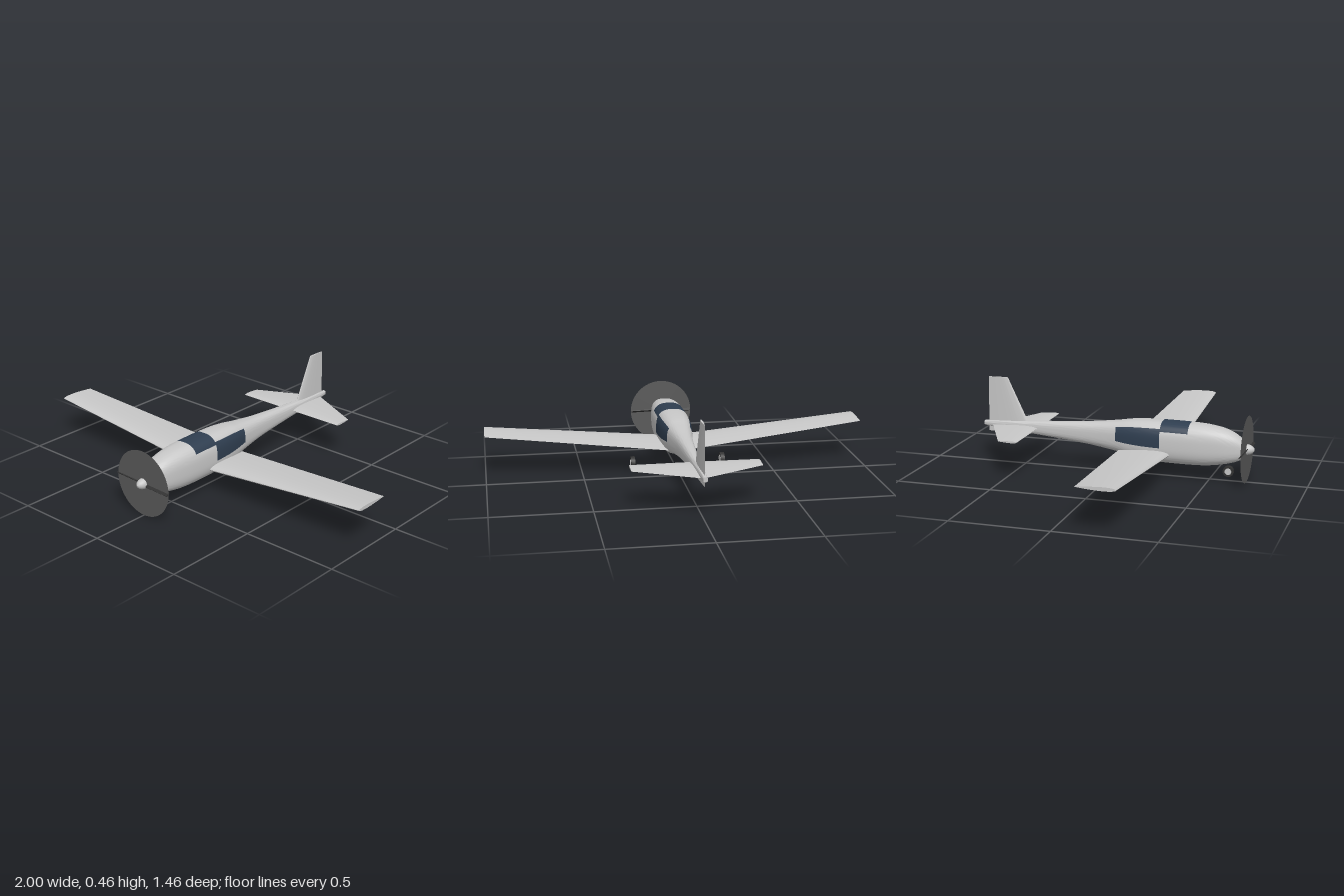
import * as THREE from 'three';
import { toCreasedNormals } from 'three/addons/utils/BufferGeometryUtils.js';

const mat = (name, color, side = THREE.FrontSide) => {
  const m = new THREE.MeshStandardMaterial({ color, side });
  m.name = name;
  return m;
};

// Skin closed rings of [x, y, z] points; pick(i, j) gives the material index of a quad
function loft(rings, pick = () => 0) {
  const n = rings[0].length;
  const pos = rings.flat(2);
  const faces = [[], []];
  for (let i = 0; i < rings.length - 1; i++) {
    for (let j = 0; j < n; j++) {
      const k = (j + 1) % n;
      const a = i * n + j, b = i * n + k, c = b + n, d = a + n;
      faces[pick(i, j)].push(a, d, b, b, d, c);
    }
  }
  // End caps
  [0, rings.length - 1].forEach((r) => {
    const centre = pos.length / 3;
    for (let q = 0; q < 3; q++) pos.push(rings[r].reduce((s, p) => s + p[q], 0) / n);
    for (let j = 0; j < n; j++) {
      const a = r * n + j, b = r * n + (j + 1) % n;
      faces[0].push(centre, ...(r === 0 ? [a, b] : [b, a]));
    }
  });
  const g = new THREE.BufferGeometry();
  g.setAttribute('position', new THREE.Float32BufferAttribute(pos, 3));
  g.setIndex([...faces[0], ...faces[1]]);
  g.addGroup(0, faces[0].length, 0);
  if (faces[1].length) g.addGroup(faces[0].length, faces[1].length, 1);
  return toCreasedNormals(g, 0.7);
}

// Aerofoil ring at span x, running over the top from leading to trailing edge and back
function foil(x, y, zFront, zBack, thickness) {
  const half = 12, ring = [];
  for (let i = 0; i < half * 2; i++) {
    const t = (1 - Math.cos((i / half) * Math.PI)) / 2;
    const h = thickness * 5 * (0.2969 * Math.sqrt(t) - 0.126 * t - 0.3516 * t ** 2 + 0.2843 * t ** 3 - 0.1036 * t ** 4);
    ring.push([x, y + (i <= half ? h : -h), zFront + (zBack - zFront) * t]);
  }
  return ring;
}

// Fuselage: rounded-square sections, window panels chosen by station and angle
function fuselageGeometry() {
  const stations = [ // z, top, bottom, half width
    [0.685, 0.203, 0.128, 0.03], [0.67, 0.217, 0.12, 0.038], [0.63, 0.246, 0.103, 0.055],
    [0.57, 0.27, 0.088, 0.071], [0.49, 0.284, 0.077, 0.082], [0.4, 0.289, 0.074, 0.088],
    [0.255, 0.291, 0.076, 0.089], [0.16, 0.289, 0.082, 0.086], [0.08, 0.283, 0.094, 0.077],
    [0.017, 0.273, 0.112, 0.067], [-0.1, 0.259, 0.131, 0.05], [-0.2, 0.251, 0.143, 0.04],
    [-0.4, 0.238, 0.162, 0.027], [-0.6, 0.228, 0.179, 0.017], [-0.728, 0.22, 0.195, 0.011],
  ];
  const outline = new THREE.CatmullRomCurve3(stations.map((s) => new THREE.Vector3(s[0], s[1], s[2])), false, 'catmullrom');
  const width = new THREE.CatmullRomCurve3(stations.map((s) => new THREE.Vector3(s[3], 0, 0)), false, 'catmullrom');
  const steps = 4, total = (stations.length - 1) * steps, segs = 72;
  const soft = (v) => Math.sign(v) * Math.abs(v) ** (2 / 2.8);
  const rings = [];
  for (let i = 0; i <= total; i++) {
    const p = outline.getPoint(i / total), w = width.getPoint(i / total).x;
    const ring = [];
    for (let j = 0; j < segs; j++) {
      const a = (j / segs) * Math.PI * 2;
      ring.push([w * soft(Math.cos(a)), (p.y + p.z) / 2 + ((p.y - p.z) / 2) * soft(Math.sin(a)), p.x]);
    }
    rings.push(ring);
  }
  return loft(rings, (i, j) => {
    const station = Math.floor(i / steps);
    let angle = (j + 0.5) * 5;
    if (angle > 270) angle -= 360;
    const fromSide = angle > 90 ? 180 - angle : angle;
    const windshield = station === 5 && fromSide > 30;
    const sideWindow = station >= 6 && station <= 8 && fromSide > -5 && fromSide < 40;
    return windshield || sideWindow ? 1 : 0;
  });
}

export function createModel() {
  const body = mat('light grey paint', 0xc8c8c8);
  const glass = mat('dark blue glass', 0x2f3e50);
  const dark = mat('black rubber', 0x333333);
  const discGrey = mat('propeller disc grey', 0x5a5a5a, THREE.DoubleSide);

  const model = new THREE.Group();
  model.name = 'airplane';
  const add = (name, geometry, material, parent = model) => {
    const m = new THREE.Mesh(geometry, material);
    m.name = name;
    parent.add(m);
    return m;
  };

  add('fuselage', fuselageGeometry(), [body, glass]);

  // Lifting surfaces
  add('wing', loft([
    foil(-1, 0.219, 0.307, 0.113, 0.019),
    foil(0, 0.123, 0.307, 0.025, 0.04),
    foil(1, 0.219, 0.307, 0.113, 0.019),
  ]), body);
  add('tailplane', loft([
    foil(-0.32, 0.2, -0.425, -0.525, 0.01),
    foil(0, 0.2, -0.425, -0.685, 0.022),
    foil(0.32, 0.2, -0.425, -0.525, 0.01),
  ]), body);
  add('fin', loft([
    foil(0.165, 0, -0.453, -0.706, 0.02),
    foil(0.46, 0, -0.593, -0.7, 0.01),
  ]), body).rotation.z = Math.PI / 2;

  // Propeller
  const propeller = new THREE.Group();
  propeller.name = 'propeller';
  propeller.position.set(0, 0.171, 0.69);
  model.add(propeller);
  add('propellerDisc', new THREE.CircleGeometry(0.171, 48), discGrey, propeller);
  const spinnerProfile = [[0.027, -0.006], [0.027, 0.004], [0.024, 0.016], [0.018, 0.027], [0.01, 0.035], [0, 0.039]];
  add('spinner', new THREE.LatheGeometry(spinnerProfile.map(([r, y]) => new THREE.Vector2(r, y)), 24), body, propeller)
    .rotation.x = Math.PI / 2;
  for (const side of [1, -1]) {
    const hub = new THREE.Group();
    hub.name = 'bladeMount';
    hub.rotation.z = side > 0 ? -0.025 : Math.PI - 0.025;
    propeller.add(hub);
    const blade = add('blade', new THREE.BoxGeometry(0.15, 0.024, 0.005), dark, hub);
    blade.position.x = 0.093;
    blade.rotation.x = -0.8;
  }

  // Wheels
  const wheels = [['noseWheel', 0, 0.049, 0.597, 0.028], ['leftWheel', 0.238, 0.053, 0.09, 0.033], ['rightWheel', -0.238, 0.053, 0.09, 0.033]];
  for (const [name, x, y, z, r] of wheels) {
    const wheel = new THREE.Group();
    wheel.name = name;
    wheel.position.set(x, y, z);
    wheel.rotation.z = Math.PI / 2;
    model.add(wheel);
    add('tyre', toCreasedNormals(new THREE.CylinderGeometry(r, r, 0.022, 20), 0.7), dark, wheel);
    add('wheelHub', toCreasedNormals(new THREE.CylinderGeometry(r * 0.62, r * 0.62, 0.025, 16), 0.7), body, wheel);
  }
  return model;
}
